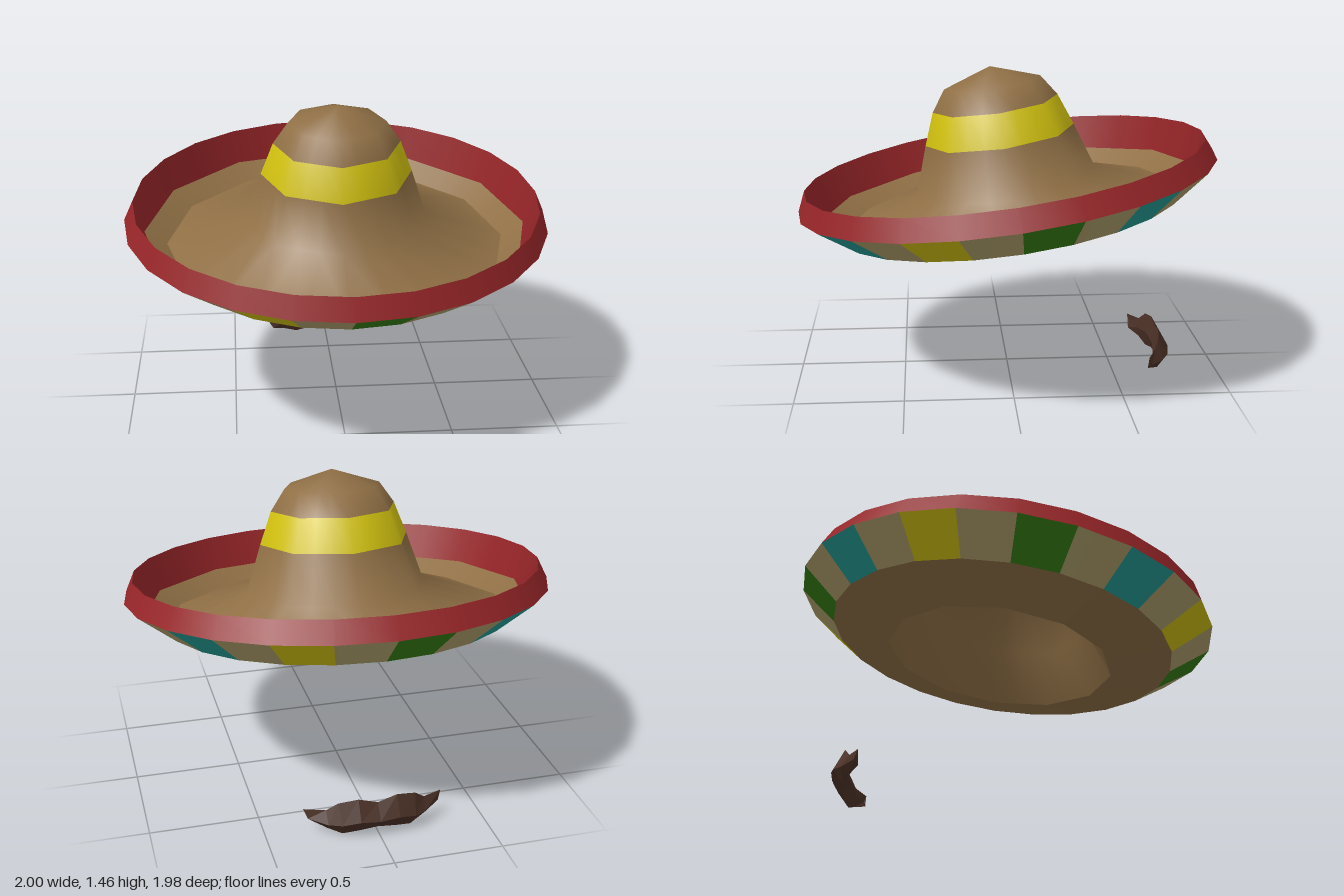
import * as THREE from 'three';

const mat = (name, color) => {
  const m = new THREE.MeshStandardMaterial({ color });
  m.name = name;
  return m;
};

const STEPS = 24;

// Radius of a regular polygon with a corner at angle 0
const polygonRadius = (r, sides, angle) => {
  const step = (2 * Math.PI) / sides;
  const a = angle - Math.floor(angle / step + 1e-6) * step;
  return (r * Math.cos(step / 2)) / Math.cos(a - step / 2);
};

// Profile normals, averaged where two segments meet
const profileNormals = (profile) => {
  const seg = profile.slice(1).map(([r, h], i) =>
    new THREE.Vector2(h - profile[i][1], profile[i][0] - r).normalize());
  return profile.map((p, i) => {
    if (p[0] === 0) return new THREE.Vector2(0, Math.sign((seg[i] || seg[i - 1]).y));
    const n = new THREE.Vector2();
    if (seg[i]) n.add(seg[i]);
    if (seg[i - 1]) n.add(seg[i - 1]);
    return n.normalize();
  });
};

// Skin around the hat's axis; profile points are [radius, height, sides]
function skin(profile, { from = 0, to = profile.length - 1, start = 0, count = STEPS } = {}) {
  const normals = profileNormals(profile);
  const pos = [], nor = [], index = [];
  const row = count + 1;
  for (let i = from; i <= to; i++) {
    const [r, h, sides] = profile[i];
    for (let j = 0; j <= count; j++) {
      const a = ((start + j) * 2 * Math.PI) / STEPS;
      const pr = polygonRadius(r, sides, a);
      pos.push(pr * Math.sin(a), h, pr * Math.cos(a));
      nor.push(normals[i].x * Math.sin(a), normals[i].y, normals[i].x * Math.cos(a));
    }
  }
  for (let i = 0; i < to - from; i++) {
    for (let j = 0; j < count; j++) {
      const a = i * row + j, c = a + row;
      index.push(a, a + 1, c, a + 1, c + 1, c);
    }
  }
  const g = new THREE.BufferGeometry();
  g.setAttribute('position', new THREE.Float32BufferAttribute(pos, 3));
  g.setAttribute('normal', new THREE.Float32BufferAttribute(nor, 3));
  g.setIndex(index);
  return g;
}

// Faceted moustache, lofted through four-sided sections along x
function moustacheGeometry() {
  // [top x, top y, bottom x, bottom y, outer z, inner z]
  const half = [
    [0, 0.15, 0, 0.022, -0.79, -0.715],
    [0.09, 0.175, 0.09, 0.012, -0.788, -0.71],
    [0.18, 0.16, 0.16, 0.0, -0.772, -0.697],
    [0.23, 0.118, 0.225, 0.025, -0.735, -0.685],
    [0.325, 0.112, 0.29, 0.048, -0.672, -0.66],
  ];
  const mirrored = half.slice(1).reverse().map(([a, b, c, ...rest]) => [-a, b, -c, ...rest]);
  const sections = [...mirrored, ...half];
  const pos = [], index = [];
  for (const [tx, ty, bx, by, zo, zi] of sections) {
    const mx = (tx + bx) / 2, my = (ty + by) / 2, mz = (zo + zi) / 2;
    pos.push(tx, ty, mz + 0.012, mx, my, zi, bx, by, mz + 0.012, mx, my - 0.01, zo);
  }
  for (let i = 0; i < sections.length - 1; i++) {
    for (let j = 0; j < 4; j++) {
      const a = i * 4 + j, b = i * 4 + ((j + 1) % 4);
      index.push(a, b, a + 4, b, b + 4, a + 4);
    }
  }
  const e = (sections.length - 1) * 4;
  index.push(0, 2, 1, 0, 3, 2, e, e + 1, e + 2, e, e + 2, e + 3);
  const g = new THREE.BufferGeometry();
  g.setAttribute('position', new THREE.Float32BufferAttribute(pos, 3));
  g.setIndex(index);
  const flat = g.toNonIndexed();
  flat.computeVertexNormals();
  return flat;
}

export function createModel() {
  const straw = mat('straw brown', 0x8f6f45);
  const red = mat('rim red', 0x962528);
  const yellow = mat('yellow', 0xd0c010);
  const green = mat('green', 0x357d13);
  const teal = mat('teal', 0x239c95);
  const tan = mat('pale tan', 0xb0a06c);
  const hair = mat('dark brown hair', 0x4a3026);

  const model = new THREE.Group();
  model.name = 'hatAndMoustache';
  const hat = new THREE.Group();
  hat.name = 'hat';
  const add = (name, geometry, material, parent = hat) => {
    const mesh = new THREE.Mesh(geometry, material);
    mesh.name = name;
    parent.add(mesh);
  };

  // Corner rings shared by neighbouring parts
  const opening = [0.54, -0.21, 12];
  const brimFoot = [0.822, -0.139, 24];
  const brimEdge = [1.0, 0, 24];
  const rimTop = [0.956, 0.0965, 24];
  const rimInside = [0.91, -0.066, 12];
  const floorEdge = [0.806, -0.133, 12];

  // Brim
  add('brimUnderside', skin([opening, brimFoot]), straw);
  add('rimOutside', skin([brimEdge, rimTop]), red);
  add('rimInside', skin([rimTop, rimInside]), red);
  add('brimWall', skin([rimInside, floorEdge]), straw);

  // Painted panels around the underside of the brim
  const panels = new THREE.Group();
  panels.name = 'brimPanels';
  hat.add(panels);
  const cycle = [green, teal, yellow];
  for (let k = 0; k < STEPS; k++) {
    const colour = k % 2 ? tan : cycle[(k / 2) % 3];
    add('brimPanel', skin([brimFoot, brimEdge], { start: k, count: 1 }), colour, panels);
  }

  // Crown, flowing smoothly out of the brim floor
  const crown = [
    floorEdge, [0.43, 0, 8], [0.355, 0.22, 8], [0.297, 0.372, 8], [0.228, 0.472, 8], [0, 0.549, 8],
  ];
  add('brimFloorAndCrownBase', skin(crown, { to: 2 }), straw);
  add('crownBand', skin(crown, { from: 2, to: 3 }), yellow);
  add('crownTop', skin(crown, { from: 3 }), straw);

  // Hollow inside of the crown
  add('crownInside', skin([[0, 0.48, 8], [0.25, 0.38, 8], [0.39, 0, 8], opening]), straw);

  hat.rotation.x = THREE.MathUtils.degToRad(8.1);
  hat.position.set(0, 0.912, 0.0025);
  model.add(hat);

  add('moustache', moustacheGeometry(), hair, model);
  return model;
}
